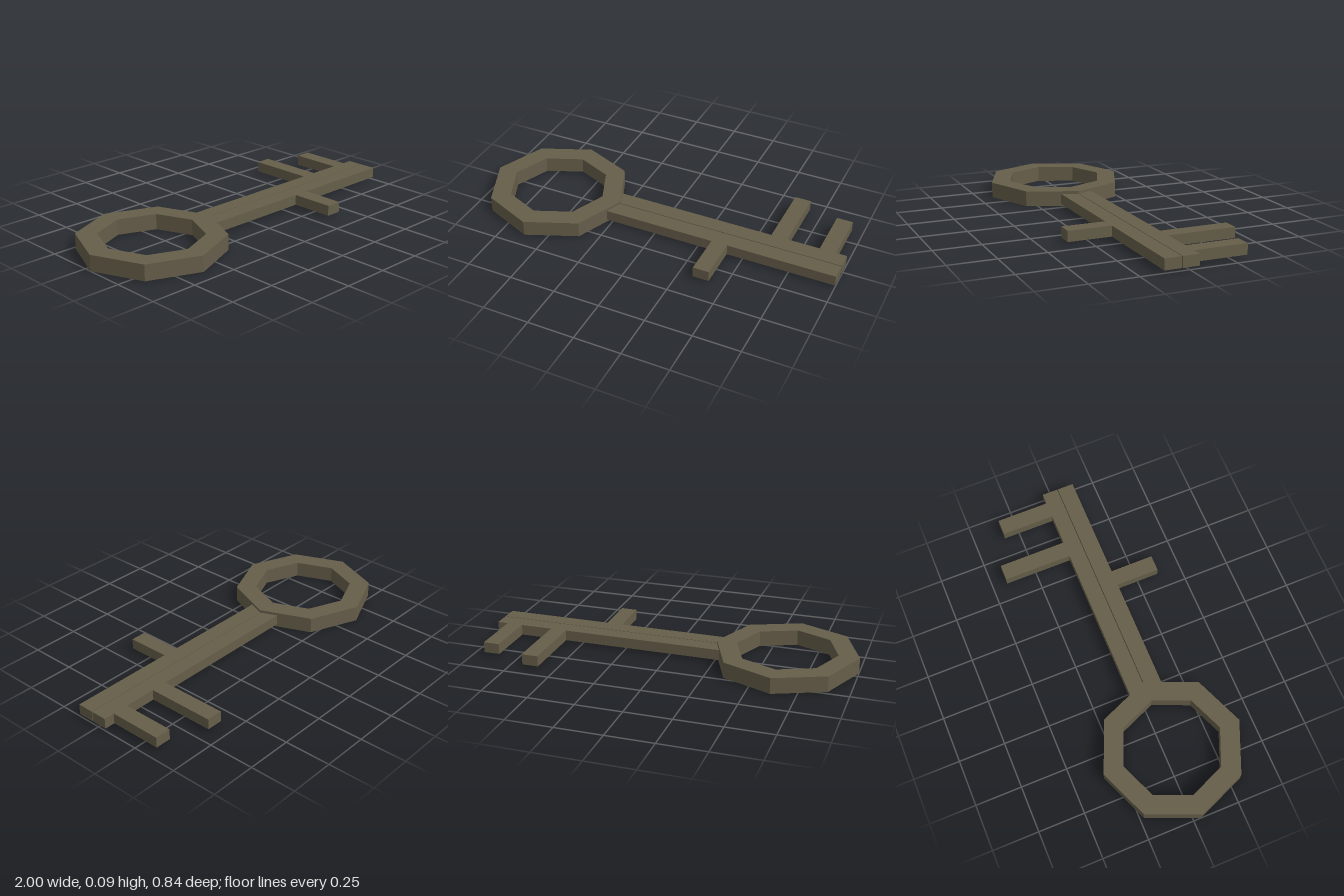
import * as THREE from 'three';

const metal = new THREE.MeshStandardMaterial({ color: 0x665e4a });
metal.name = 'dull bronze';

export function createModel() {
  const key = new THREE.Group();
  key.name = 'key';

  // Box given by its x and z limits; shaft and teeth share one thickness
  const addBar = (name, x0, x1, z0, z1) => {
    const y0 = 0.013, y1 = 0.07;
    const mesh = new THREE.Mesh(new THREE.BoxGeometry(x1 - x0, y1 - y0, z1 - z0), metal);
    mesh.position.set((x0 + x1) / 2, (y0 + y1) / 2, (z0 + z1) / 2);
    mesh.name = name;
    key.add(mesh);
  };

  // Octagonal bow with an octagonal hole
  const octagon = (r) => Array.from({ length: 8 }, (_, i) =>
    new THREE.Vector2(Math.cos(i * Math.PI / 4) * r, Math.sin(i * Math.PI / 4) * r));
  const shape = new THREE.Shape(octagon(0.38));
  shape.holes.push(new THREE.Path(octagon(0.27).reverse()));
  const bowGeometry = new THREE.ExtrudeGeometry(shape, { depth: 0.085, bevelEnabled: false });
  bowGeometry.rotateX(-Math.PI / 2);
  const bow = new THREE.Mesh(bowGeometry, metal);
  bow.position.set(-0.62, 0, 0.04);
  bow.name = 'bow';
  key.add(bow);

  // Shaft made of two bars with a hairline seam
  addBar('shaftBack', -0.3, 1, -0.05, 0.037);
  addBar('shaftFront', -0.3, 1, 0.041, 0.13);

  // Teeth
  addBar('longTooth', 0.592, 0.68, -0.42, -0.05);
  addBar('shortTooth', 0.855, 0.942, -0.336, -0.05);
  addBar('frontTooth', 0.331, 0.418, 0.13, 0.366);

  return key;
}
